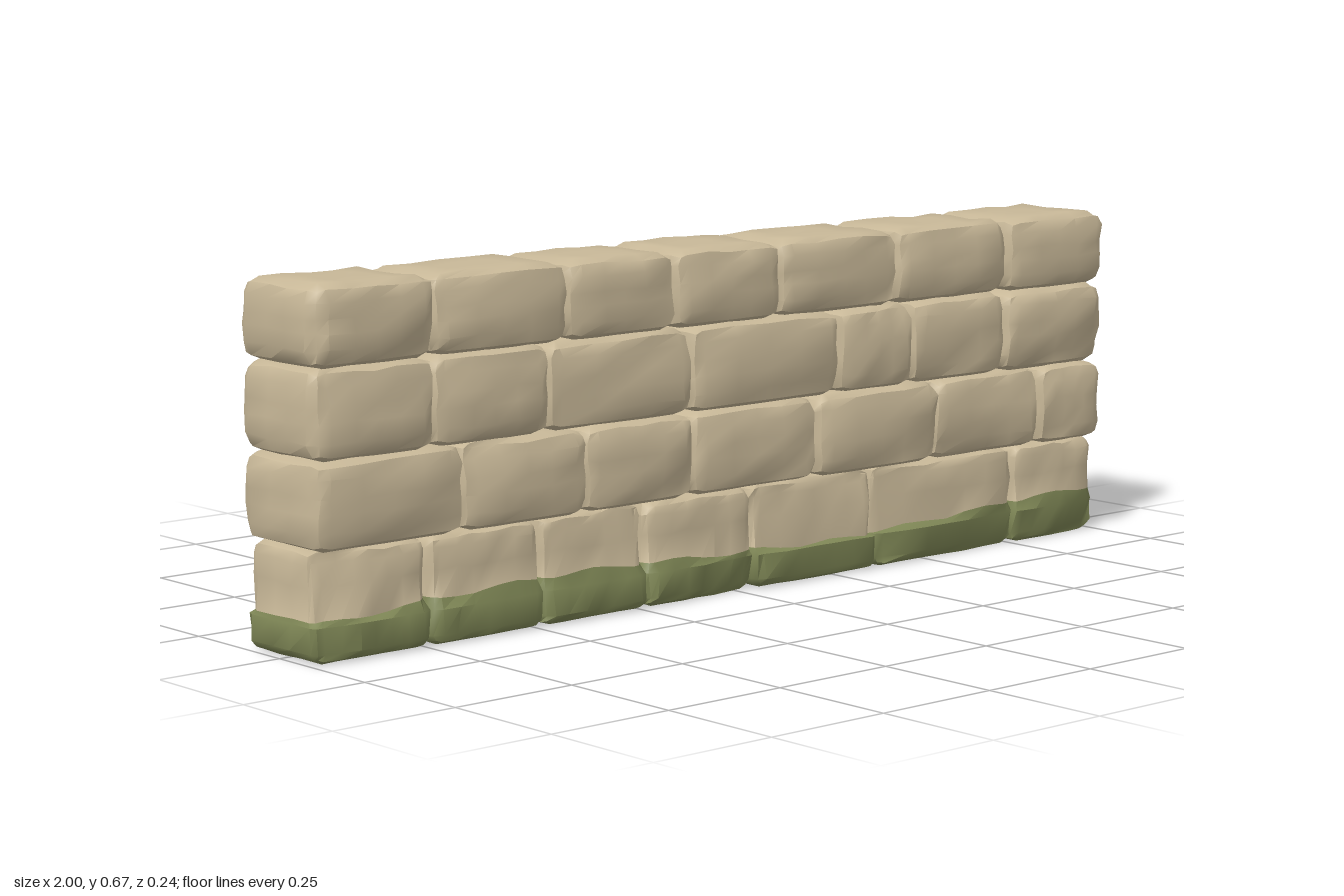
import * as THREE from 'three';
import { mergeVertices, toCreasedNormals } from 'three/addons/utils/BufferGeometryUtils.js';

const stoneMat = new THREE.MeshStandardMaterial({ color: 0xc8b898 });
stoneMat.name = 'sandstone';
const mossMat = new THREE.MeshStandardMaterial({ color: 0x7f8756 });
mossMat.name = 'moss green';

// Small seeded generator, returns -1..1
let seed = 11;
const rnd = () => {
  seed = (seed * 16807) % 2147483647;
  return (seed / 2147483647) * 2 - 1;
};

// Courses: bottom, top and the x positions of the joints
const courses = [
  { y0: 0, y1: 0.2, joints: [-1, -0.74, -0.485, -0.235, 0.04, 0.36, 0.755, 1] },
  { y0: 0.197, y1: 0.36, joints: [-1, -0.67, -0.385, -0.12, 0.2, 0.525, 0.82, 1] },
  { y0: 0.356, y1: 0.522, joints: [-1, -0.735, -0.47, -0.125, 0.255, 0.455, 0.715, 1] },
  { y0: 0.518, y1: 0.668, joints: [-1, -0.73, -0.425, -0.165, 0.1, 0.415, 0.72, 1] },
];

// Wavy upper edge of the moss
const mossLine = (x) => 0.08 + 0.011 * Math.sin(x * 4.5 + 3.6) + 0.004 * Math.sin(x * 31);

// Grid line i of n, with the outermost cells as wide as the rounding
function gridLine(i, n, half, r) {
  if (i === 0) return -half;
  if (i === n) return half;
  return (half - r) * (((i - 1) / (n - 2)) * 2 - 1);
}

// A rounded block with chiselled front and back faces
function stoneGeometry(w, h, d, cx, cy, mossy) {
  const n = mossy ? [8, 6, 5] : [6, 5, 5];
  const half = [w / 2, h / 2, d / 2];
  const r = mossy ? 0.022 : 0.03;
  let geo = new THREE.BoxGeometry(2, 2, 2, ...n);
  geo.deleteAttribute('normal');
  geo.deleteAttribute('uv');
  geo.clearGroups();
  geo = mergeVertices(geo);

  // Sloping cuts, two on each long face
  const cuts = [1, 1, -1, -1].map((side) => ({
    side, a: rnd() * 0.14, b: rnd() * 0.3, off: 0.006 + Math.abs(rnd()) * 0.006,
  }));
  const pos = geo.attributes.position;
  const level = [];
  for (let v = 0; v < pos.count; v++) {
    const ids = [0, 1, 2].map((k) => Math.round(((pos.getComponent(v, k) + 1) / 2) * n[k]));
    const j = ids[1];
    level.push(j);
    const p = ids.map((id, k) => gridLine(id, n[k], half[k], r));
    const inner = p.map((c, k) => THREE.MathUtils.clamp(c, r - half[k], half[k] - r));
    const len = Math.hypot(...p.map((c, k) => c - inner[k])) || 1;
    let [x, y, z] = p.map((c, k) => inner[k] + ((c - inner[k]) / len) * r);

    for (const c of cuts) {
      const limit = half[2] + c.off - c.a * x - c.b * y;
      if (z * c.side > limit) z = limit * c.side;
    }
    // Rough surface: inward only, so the wall keeps its outline
    x -= Math.sign(x) * Math.abs(rnd()) * 0.007;
    z -= Math.sign(z) * Math.abs(rnd()) * 0.006;
    if (j > 0) y -= Math.sign(y) * Math.abs(rnd()) * 0.006;

    if (mossy) {
      // Wider foot below, slimmer stone above the ledge
      if (j === 1) y = 0.018 - cy;
      if (j === 2) y = 0.066 - cy;
      if (j === 3) y = mossLine(cx + x) - cy;
      if (j >= 3) {
        z *= 0.89;
        x *= 1 - 0.006 / half[0];
      }
    }
    pos.setXYZ(v, x, y, z);
  }

  if (mossy) {
    // Faces up to the moss line first, the bare stone after them
    const low = [], high = [];
    const idx = geo.index.array;
    for (let t = 0; t < idx.length; t += 3) {
      const tri = [idx[t], idx[t + 1], idx[t + 2]];
      (tri.every((v) => level[v] <= 3) ? low : high).push(...tri);
    }
    geo.setIndex([...low, ...high]);
    geo.addGroup(0, low.length, 0);
    geo.addGroup(low.length, high.length, 1);
  }
  return toCreasedNormals(geo, 0.72);
}

export function createModel() {
  const wall = new THREE.Group();
  wall.name = 'stoneWall';
  courses.forEach(({ y0, y1, joints }, row) => {
    const course = new THREE.Group();
    course.name = `course${row + 1}`;
    for (let i = 0; i < joints.length - 1; i++) {
      const first = i === 0, last = i === joints.length - 2;
      // Neighbours overlap a little at the joints
      const a = joints[i] - (first ? 0 : 0.005);
      const b = joints[i + 1] + (last ? 0 : 0.005);
      const cx = (a + b) / 2, cy = (y0 + y1) / 2;
      const mossy = row === 0;
      const depth = mossy ? 0.222 : first || last ? 0.242 : 0.23 + rnd() * 0.008;
      const geo = stoneGeometry(b - a, y1 - y0, depth, cx, cy, mossy);
      const stone = new THREE.Mesh(geo, mossy ? [mossMat, stoneMat] : stoneMat);
      stone.name = mossy ? `mossyStone${i + 1}` : `stone${i + 1}`;
      stone.position.set(cx, cy, 0);
      course.add(stone);
    }
    wall.add(course);
  });
  return wall;
}
